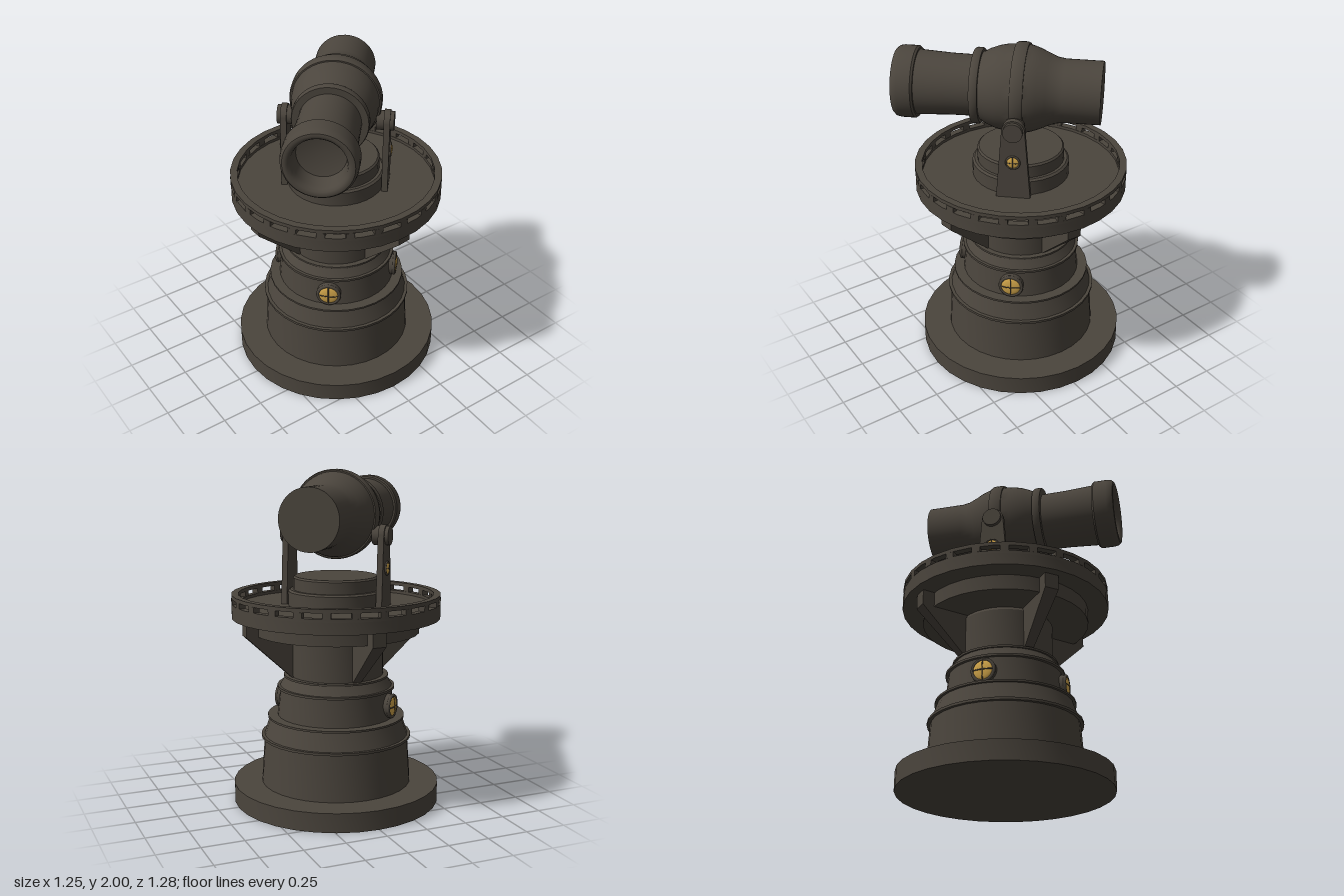
import * as THREE from 'three';
import { toCreasedNormals } from 'three/addons/utils/BufferGeometryUtils.js';

const iron = new THREE.MeshStandardMaterial({ color: 0x4b453d });
iron.name = 'dark iron';
const gold = new THREE.MeshStandardMaterial({ color: 0xd6a94c });
gold.name = 'gold glass';

const rad = THREE.MathUtils.degToRad;

function add(parent, name, geometry, material = iron) {
  const mesh = new THREE.Mesh(geometry, material);
  mesh.name = name;
  parent.add(mesh);
  return mesh;
}

// Lathe from [radius, height] pairs, with sharp edges kept
function turned(profile, segments, crease = 0.5) {
  const points = profile.map(([r, y]) => new THREE.Vector2(r, y));
  return toCreasedNormals(new THREE.LatheGeometry(points, segments), crease);
}

// Curved block of a ring, between two angles and two heights
function arcBlock(inner, outer, y0, y1, a0, a1, steps) {
  const shape = new THREE.Shape();
  for (let i = 0; i <= steps; i++) {
    const a = a0 + ((a1 - a0) * i) / steps;
    if (i === 0) shape.moveTo(outer * Math.cos(a), outer * Math.sin(a));
    else shape.lineTo(outer * Math.cos(a), outer * Math.sin(a));
  }
  for (let i = steps; i >= 0; i--) {
    const a = a0 + ((a1 - a0) * i) / steps;
    shape.lineTo(inner * Math.cos(a), inner * Math.sin(a));
  }
  const g = new THREE.ExtrudeGeometry(shape, { depth: y1 - y0, bevelEnabled: false });
  return g.rotateX(-Math.PI / 2).translate(0, y0, 0);
}

// Round window facing +z: housing, domed glass, rim and cross bars
function porthole(name, r, depth) {
  const group = new THREE.Group();
  group.name = name;
  add(group, 'windowHousing',
    new THREE.CylinderGeometry(r, r, depth, 24).rotateX(Math.PI / 2).translate(0, 0, -depth / 2));
  add(group, 'windowRim', new THREE.TorusGeometry(r * 0.9, r * 0.14, 8, 24));
  add(group, 'windowGlass',
    new THREE.SphereGeometry(r * 0.82, 20, 6, 0, Math.PI * 2, 0, Math.PI / 2)
      .rotateX(Math.PI / 2).scale(1, 1, 0.22).translate(0, 0, 0.002), gold);
  for (const turn of [0, Math.PI / 2]) {
    const bar = new THREE.TorusGeometry(r * 0.84, r * 0.05, 4, 12, Math.PI)
      .rotateX(Math.PI / 2).scale(1, 1, 0.24).translate(0, 0, 0.003);
    add(group, 'windowBar', bar).rotation.z = turn;
  }
  return group;
}

function buildTower() {
  const tower = new THREE.Group();
  tower.name = 'tower';

  // Base, stepped body with thin hoops, column and platform floor
  add(tower, 'towerBody', turned([
    [0, 0], [0.625, 0], [0.625, 0.115], [0.455, 0.115],
    [0.436, 0.395], [0.455, 0.395], [0.455, 0.41], [0.436, 0.41],
    [0.40, 0.518], [0.415, 0.518], [0.415, 0.53], [0.355, 0.53],
    [0.337, 0.698], [0.355, 0.698], [0.355, 0.712], [0.338, 0.712],
    [0.306, 0.768], [0.316, 0.768], [0.316, 0.78], [0.285, 0.78],
    [0.285, 1.02], [0.272, 1.04], [0.50, 1.04], [0.50, 1.13],
    [0.625, 1.13], [0.625, 1.20], [0, 1.20],
  ], 32, 0.25));

  // Slotted parapet: two hoops joined by short posts
  const slots = 24, step = (Math.PI * 2) / slots;
  for (const [y0, y1] of [[1.20, 1.218], [1.25, 1.272]]) {
    add(tower, 'parapetHoop', turned([
      [0.583, y0], [0.625, y0], [0.625, y1], [0.583, y1], [0.583, y0],
    ], 32));
  }
  for (let i = 0; i < slots; i++) {
    const a = i * step;
    add(tower, 'parapetPost', arcBlock(0.583, 0.624, 1.218, 1.25, a, a + step * 0.3, 2));
  }

  // Tapered brackets under the platform
  const outline = [[0.26, 0.78], [0.29, 0.78], [0.57, 1.04], [0.57, 1.13], [0.26, 1.13]];
  const bracket = new THREE.ExtrudeGeometry(
    new THREE.Shape(outline.map(([x, y]) => new THREE.Vector2(x, y))),
    { depth: 1, bevelEnabled: false });
  const pos = bracket.attributes.position;
  for (let i = 0; i < pos.count; i++) {
    pos.setZ(i, (pos.getZ(i) - 0.5) * (0.055 + (pos.getX(i) - 0.29) * 0.11));
  }
  bracket.computeVertexNormals();
  for (const az of [8, 88, 182, 270]) {
    add(tower, 'bracket', bracket).rotation.y = rad(az - 90);
  }

  // Windows round the middle tier
  for (const az of [-42, 47, 223]) {
    const w = porthole('towerWindow', 0.072, 0.07);
    w.position.set(Math.sin(rad(az)) * 0.367, 0.61, Math.cos(rad(az)) * 0.367);
    w.rotation.y = rad(az);
    tower.add(w);
  }
  return tower;
}

function buildTurret() {
  const turret = new THREE.Group();
  turret.name = 'turret';

  add(turret, 'turntable', turned([
    [0.285, 1.20], [0.285, 1.285], [0.272, 1.295], [0.255, 1.295],
    [0.255, 1.365], [0.245, 1.375], [0, 1.375],
  ], 32));

  // Barrel with breech, trunnion band, front hoop, muzzle collar and bore
  const barrel = turned([
    [0, -0.463], [0.18, -0.463], [0.181, -0.25], [0.188, -0.205], [0.206, -0.16],
    [0.229, -0.11], [0.243, -0.07], [0.249, -0.042],
    [0.257, -0.042], [0.263, -0.03], [0.263, 0.02], [0.257, 0.032],
    [0.249, 0.032], [0.245, 0.08], [0.234, 0.13], [0.215, 0.18], [0.195, 0.218],
    [0.212, 0.218], [0.217, 0.228], [0.217, 0.255], [0.212, 0.266],
    [0.174, 0.266], [0.176, 0.4], [0.186, 0.585],
    [0.198, 0.585], [0.207, 0.597], [0.207, 0.675], [0.202, 0.7], [0.19, 0.714],
    [0.176, 0.717], [0.161, 0.711], [0.15, 0.697], [0.145, 0.675], [0.135, 0.6], [0, 0.57],
  ], 48, 0.6).rotateX(Math.PI / 2);
  add(turret, 'barrel', barrel).position.y = 1.737;

  // Uprights on both sides, each with a pivot boss and a small window
  const plate = new THREE.Shape();
  plate.moveTo(-0.098, 1.20);
  plate.lineTo(0.098, 1.20);
  plate.lineTo(0.065, 1.62);
  plate.absarc(0, 1.62, 0.065, 0, Math.PI, false);
  plate.closePath();
  const plateGeo = toCreasedNormals(
    new THREE.ExtrudeGeometry(plate, { depth: 0.036, bevelEnabled: false, curveSegments: 12 }), 0.6);
  for (const side of [0, Math.PI]) {
    const upright = new THREE.Group();
    upright.name = side ? 'rightUpright' : 'leftUpright';
    upright.rotation.y = Math.PI / 2 + side;
    add(upright, 'uprightPlate', plateGeo).position.z = 0.277;
    add(upright, 'pivotBoss',
      new THREE.CylinderGeometry(0.056, 0.056, 0.1, 20).rotateX(Math.PI / 2)).position.set(0, 1.62, 0.285);
    const w = porthole('uprightWindow', 0.042, 0.02);
    w.position.set(0, 1.43, 0.318);
    upright.add(w);
    turret.add(upright);
  }
  turret.rotation.y = rad(-42);
  return turret;
}

export function createModel() {
  const model = new THREE.Group();
  model.name = 'cannonTower';
  const tower = buildTower();
  const turret = buildTurret();
  for (const part of [tower, turret]) {
    part.position.set(0.003, 0, -0.025);
    model.add(part);
  }
  return model;
}
